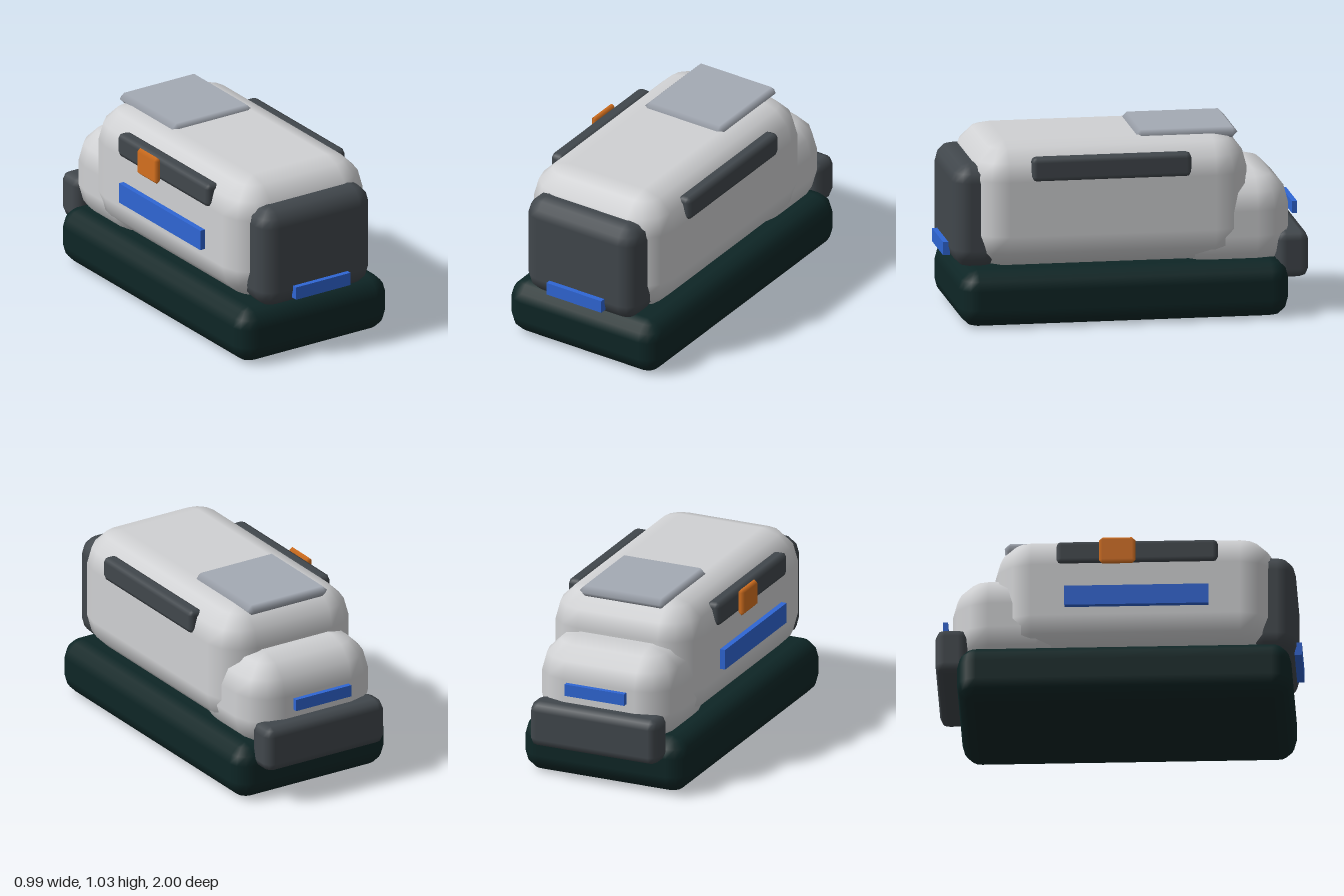
import * as THREE from 'three';

const material = (name, color) => {
  const m = new THREE.MeshStandardMaterial({ color });
  m.name = name;
  return m;
};

// Box with bevelled edges: an octant-split sphere grid pushed out to the box corners
function bevelBox(w, h, d, r, steps) {
  const core = [w / 2 - r, h / 2 - r, d / 2 - r];
  const pos = [], nor = [], index = [];
  const ringSize = 4 * (steps + 1), rings = 2 * (steps + 1);
  for (const sy of [-1, 1]) {
    for (let j = 0; j <= steps; j++) {
      const t = (j / steps) * Math.PI / 2;
      const phi = sy < 0 ? t - Math.PI / 2 : t;
      for (let q = 0; q < 4; q++) {
        const sx = q === 0 || q === 3 ? 1 : -1, sz = q < 2 ? 1 : -1;
        for (let i = 0; i <= steps; i++) {
          const a = (q + i / steps) * Math.PI / 2;
          const n = [Math.cos(phi) * Math.cos(a), Math.sin(phi), Math.cos(phi) * Math.sin(a)];
          pos.push(sx * core[0] + r * n[0], sy * core[1] + r * n[1], sz * core[2] + r * n[2]);
          nor.push(...n);
        }
      }
    }
  }
  for (let j = 0; j < rings - 1; j++) {
    for (let i = 0; i < ringSize; i++) {
      const k = (i + 1) % ringSize;
      const a = j * ringSize + i, b = j * ringSize + k;
      index.push(a, a + ringSize, b, b, a + ringSize, b + ringSize);
    }
  }
  // Flat bottom and top caps
  const top = (rings - 1) * ringSize;
  for (let i = 1; i < ringSize - 1; i++) {
    index.push(0, i, i + 1, top, top + i + 1, top + i);
  }
  const g = new THREE.BufferGeometry();
  g.setAttribute('position', new THREE.Float32BufferAttribute(pos, 3));
  g.setAttribute('normal', new THREE.Float32BufferAttribute(nor, 3));
  g.setIndex(index);
  return g;
}

export function createModel() {
  const model = new THREE.Group();
  model.name = 'model';

  const shell = material('light grey shell', 0xd0d1d3);
  const charcoal = material('charcoal', 0x41474c);
  const darkGreen = material('dark green', 0x0e2626);
  const hatchGrey = material('hatch grey', 0xa4aab4);
  const blue = material('blue', 0x2f66d4);
  const orange = material('orange', 0xd4701f);

  // Each part is given by its extents along x, y and z; radius 0 makes a plain box
  const add = (name, mat, [x0, x1], [y0, y1], [z0, z1], r = 0, steps = 3) => {
    const size = [x1 - x0, y1 - y0, z1 - z0];
    const geo = r ? bevelBox(...size, r, steps) : new THREE.BoxGeometry(...size);
    const mesh = new THREE.Mesh(geo, mat);
    mesh.name = name;
    mesh.position.set((x0 + x1) / 2, (y0 + y1) / 2, (z0 + z1) / 2);
    model.add(mesh);
  };

  // Main volumes
  add('base', darkGreen, [-0.493, 0.493], [0, 0.315], [-0.88, 0.95], 0.105);
  add('body', shell, [-0.443, 0.443], [0.3, 1.005], [-0.675, 0.87], 0.2);
  add('rearHousing', shell, [-0.415, 0.415], [0.25, 0.79], [-0.91, -0.25], 0.2);

  // Dark end pieces
  add('frontPanel', charcoal, [-0.365, 0.365], [0.31, 0.89], [0.7, 0.97], 0.1);
  add('rearBumper', charcoal, [-0.387, 0.387], [0.2, 0.46], [-1, -0.825], 0.05, 2);

  // Side rails, mirrored
  for (const [name, s] of [['leftRail', 1], ['rightRail', -1]]) {
    const xs = [s * 0.375, s * 0.46].sort((a, b) => a - b);
    add(name, charcoal, xs, [0.805, 0.94], [-0.335, 0.55], 0.028, 2);
  }

  // Roof hatch and side marker
  add('roofHatch', hatchGrey, [-0.26, 0.26], [0.97, 1.03], [-0.625, -0.06], 0.029, 1);
  add('sideMarker', orange, [-0.495, -0.455], [0.79, 0.945], [-0.1, 0.1], 0.019, 1);

  // Blue plates
  add('frontPlate', blue, [-0.18, 0.18], [0.357, 0.43], [0.96, 1]);
  add('rearPlate', blue, [-0.18, 0.18], [0.52, 0.587], [-0.965, -0.937]);
  add('sidePlate', blue, [-0.474, -0.435], [0.545, 0.66], [-0.29, 0.5]);

  return model;
}
